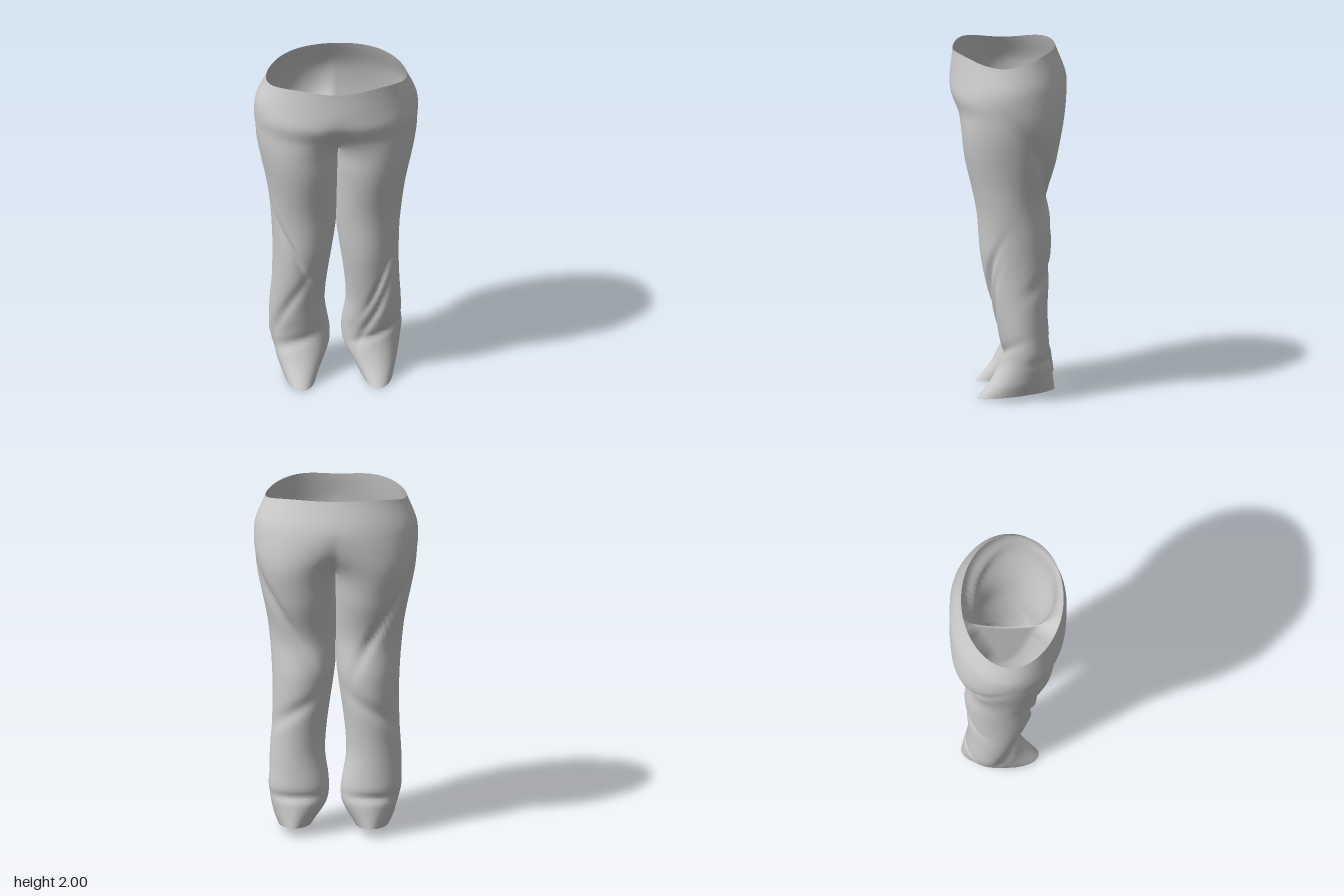
import * as THREE from 'three';
import { mergeGeometries, mergeVertices } from 'three/addons/utils/BufferGeometryUtils.js';

const CROTCH = 1.58, OUTER = 44, INNER = 16;

// Profiles of one half: [y, value]
const FRONT = [[0, .18], [.12, .09], [.25, .04], [.4, .065], [.8, .155], [1.1, .185], [1.4, .25], [1.64, .28], [1.77, .33], [2, .315]];
const BACK = [[0, -.26], [.25, -.235], [.5, -.22], [.92, -.24], [1.15, -.215], [1.4, -.275], [1.8, -.33], [2, -.265]];
const OUTSIDE = [[0, .3], [.1, .335], [.3, .374], [.8, .357], [1.2, .383], [1.6, .457], [1.8, .46], [2, .4]];
// Passes x = 0 above the crotch, where the halves join into one oval
const INSIDE = [[0, .11], [.2, .03], [.5, .06], [1, 0], [1.4, -.03], [1.58, -.075], [1.72, -.28], [1.84, -.45], [2, -.4]];

// Cloth creases: [height, slope over angle, angle, height spread, angle spread, depth]
const SHARED_FOLDS = [[1.3, -.33, 2.6, .055, .8, -.028], [.73, .1, 2.9, .05, .9, -.015], [.22, 0, 3, .03, 1, -.019]];
const LEFT_FOLDS = [[.68, .3, .4, .04, .6, -.028], [.48, .35, .2, .05, .7, -.018], [.27, .06, .2, .025, 1, -.014]];
const RIGHT_FOLDS = [[.86, .3, .4, .04, .6, -.024], [.5, -.3, .4, .06, .7, -.016], [.23, -.06, .3, .03, 1, -.016]];
const SIDES = [
  { sign: 1, splay: .025, folds: [...SHARED_FOLDS, ...LEFT_FOLDS] },
  { sign: -1, splay: 0, folds: [...SHARED_FOLDS, ...RIGHT_FOLDS] },
];

// Smooth cubic reading of a profile
function read(keys, y) {
  let i = 0;
  while (i < keys.length - 2 && y > keys[i + 1][0]) i++;
  const slope = k => {
    const a = keys[Math.max(k - 1, 0)], b = keys[Math.min(k + 1, keys.length - 1)];
    return (b[1] - a[1]) / (b[0] - a[0]);
  };
  const [y0, v0] = keys[i], [y1, v1] = keys[i + 1], h = y1 - y0;
  const t = (y - y0) / h, u = 1 - t;
  return v0 * u * u * (1 + 2 * t) + v1 * t * t * (3 - 2 * t) + h * t * u * (slope(i) * u - slope(i + 1) * t);
}

// Depth of the creases at one angle and height
function crease(folds, angle, y) {
  let depth = 0;
  for (const [y0, slope, a0, sy, sa, amount] of folds) {
    const da = Math.atan2(Math.sin(angle - a0), Math.cos(angle - a0));
    depth += amount * Math.exp(-(((y - y0 - slope * da) / sy) ** 2) - (da / sa) ** 2);
  }
  return depth;
}

// One point of a half: angle 0 is front, PI / 2 is outward, PI is back
function point(side, angle, y) {
  const xi = read(INSIDE, y), xo = read(OUTSIDE, y);
  const zf = read(FRONT, y), zb = read(BACK, y);
  const d = crease(side.folds, angle, y), s = Math.sin(angle), c = Math.cos(angle);
  const splay = side.splay * Math.max(0, 1 - y / .35);
  const x = (xi + xo) / 2 + ((xo - xi) / 2 + d) * s + splay;
  const z = (zf + zb) / 2 + ((zf - zb) / 2 + d) * c;
  // Slanted hem and wavy waistband
  const hem = .055 * (1 - c) / 2 * Math.max(0, 1 - y / .25);
  const rim = (.05 * s ** 4 + .018 * Math.max(0, c) ** 12) * Math.max(0, (y - 1.8) / .2);
  return [x, y + hem - rim, z];
}

// Half of the trousers: hip panel above the crotch, closed leg tube below
function half(side) {
  const rows = [];
  for (let i = 0; i < 18; i++) rows.push(2 - (2 - CROTCH) * i / 18);
  for (let i = 0; i <= 76; i++) rows.push(CROTCH * (1 - i / 76));
  const cols = OUTER + INNER, pos = [], index = [];
  rows.forEach((y, r) => {
    // Angle at which this section meets the centre plane
    const h = Math.max(y, CROTCH), xi = read(INSIDE, h), xo = read(OUTSIDE, h);
    const seam = Math.asin(THREE.MathUtils.clamp((xo + xi) / (xo - xi), 0, 1));
    for (let j = 0; j < cols; j++) {
      const angle = j <= OUTER
        ? -seam + (Math.PI + 2 * seam) * j / OUTER
        : Math.PI + seam + (Math.PI - 2 * seam) * (j - OUTER) / INNER;
      const p = point(side, angle, y);
      const onSeam = y >= CROTCH && (j === 0 || j >= OUTER);
      p[0] = onSeam ? 0 : Math.max(p[0], .003);
      // Saddle between the legs
      if (j > OUTER && y > 1) p[1] -= .05 * Math.sin(Math.PI * (j - OUTER) / INNER) * (y - 1) / .58;
      pos.push(p[0] * side.sign, p[1], p[2]);
      const end = y > CROTCH ? OUTER : cols;
      if (r < rows.length - 1 && j < end) {
        const a = r * cols + j, b = r * cols + (j + 1) % cols, c = a + cols, d = b + cols;
        if (side.sign > 0) index.push(a, c, b, b, c, d);
        else index.push(a, b, c, b, d, c);
      }
    }
  });
  const g = new THREE.BufferGeometry();
  g.setAttribute('position', new THREE.Float32BufferAttribute(pos, 3));
  g.setIndex(index);
  return g;
}

export function createModel() {
  const group = new THREE.Group();
  group.name = 'trousers';
  // Weld both halves along the centre seam
  const cloth = mergeVertices(mergeGeometries(SIDES.map(half)), 1e-4);
  cloth.computeVertexNormals();
  const mesh = new THREE.Mesh(cloth, new THREE.MeshStandardMaterial({ color: 0xcccccc, side: THREE.DoubleSide }));
  mesh.name = 'trouserCloth';
  group.add(mesh);
  return group;
}
